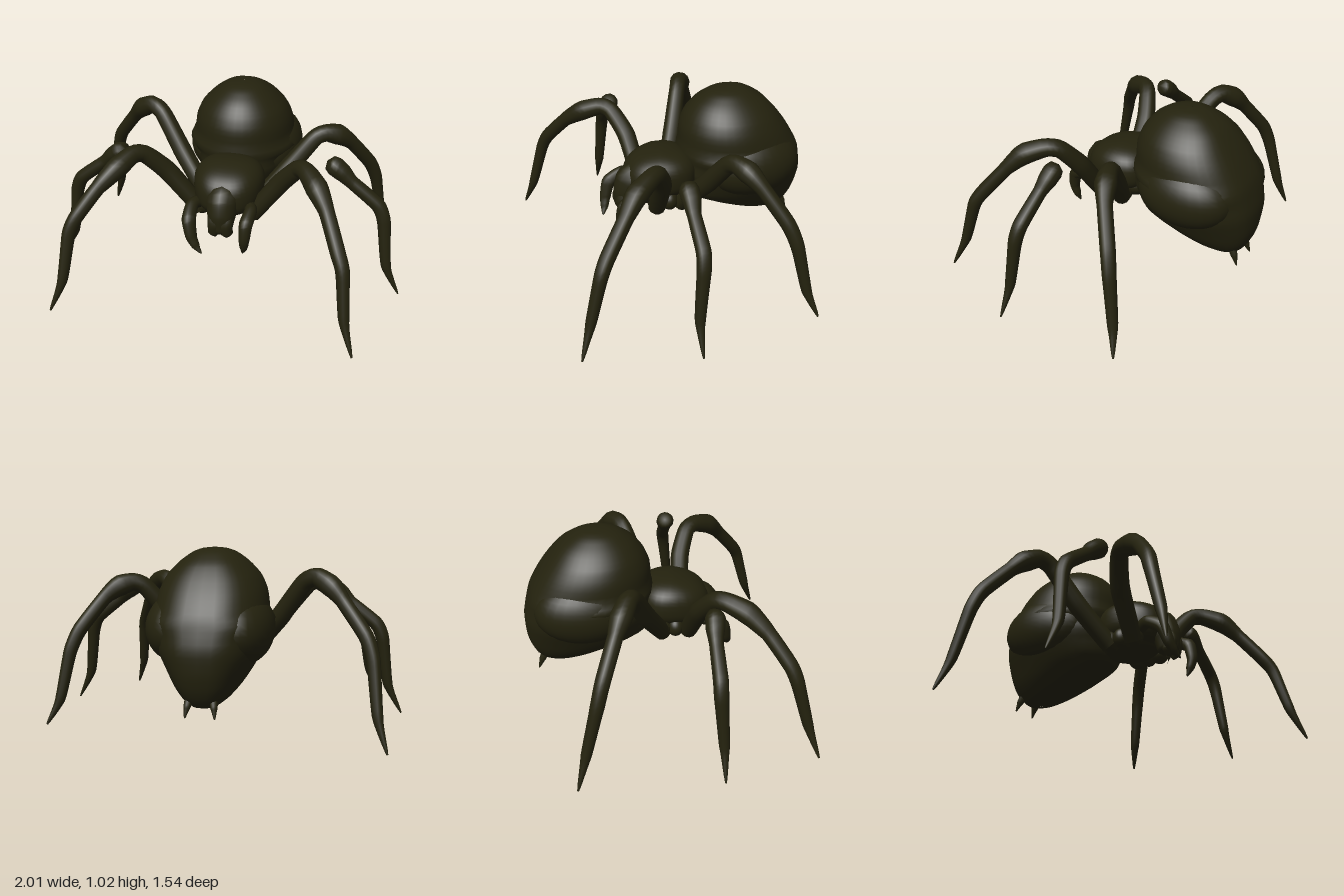
import * as THREE from 'three';
import { mergeVertices } from 'three/addons/utils/BufferGeometryUtils.js';

const hide = new THREE.MeshStandardMaterial({ color: 0x24220e });
hide.name = 'dark olive';

function smooth(geo) {
  geo.deleteAttribute('uv');
  geo.deleteAttribute('normal');
  const g = mergeVertices(geo, 1e-5);
  g.computeVertexNormals();
  return g;
}

function add(group, name, geo) {
  const mesh = new THREE.Mesh(geo, hide);
  mesh.name = name;
  group.add(mesh);
  return mesh;
}

function blob(group, name, [x, y, z], [rx, ry, rz]) {
  const m = add(group, name, new THREE.SphereGeometry(1, 28, 20));
  m.position.set(x, y, z);
  m.scale.set(rx, ry, rz);
  return m;
}

// Tube through points [x, y, z, radius], the radius varying along its length
function limb(group, name, pts, sides = 12) {
  const curve = new THREE.CatmullRomCurve3(
    pts.map(p => new THREE.Vector3(p[0], p[1], p[2])), false, 'catmullrom', 0.28);
  const n = pts.length * 6;
  const geo = new THREE.TubeGeometry(curve, n, 1, sides);
  const pos = geo.attributes.position, v = new THREE.Vector3();
  for (let i = 0; i <= n; i++) {
    const t = curve.getUtoTmapping(i / n) * (pts.length - 1);
    const k = Math.min(Math.floor(t), pts.length - 2);
    const r = THREE.MathUtils.lerp(pts[k][3], pts[k + 1][3], t - k);
    const c = curve.getPointAt(i / n);
    for (let j = 0; j <= sides; j++) {
      const q = i * (sides + 1) + j;
      v.fromBufferAttribute(pos, q).sub(c).multiplyScalar(r).add(c);
      pos.setXYZ(q, v.x, v.y, v.z);
    }
  }
  return add(group, name, smooth(geo));
}

// Abdomen: horizontal rings stacked by height [y, front z, back z, half width], fuller at the back
function abdomenGeometry() {
  const rows = [
    [0.22, -0.56, -0.6, 0.001], [0.235, -0.47, -0.67, 0.07], [0.28, -0.34, -0.715, 0.13],
    [0.34, -0.2, -0.745, 0.18], [0.42, -0.06, -0.765, 0.23], [0.52, -0.045, -0.77, 0.28],
    [0.62, -0.045, -0.75, 0.3], [0.7, -0.045, -0.725, 0.3], [0.8, -0.05, -0.665, 0.285],
    [0.88, -0.08, -0.605, 0.25], [0.95, -0.135, -0.54, 0.185], [1.0, -0.21, -0.46, 0.115],
    [1.018, -0.27, -0.41, 0.065], [1.025, -0.34, -0.345, 0.001]];
  const paths = [0, 1, 2, 3].map(k => new THREE.CatmullRomCurve3(
    rows.map(r => new THREE.Vector3(r[k], 0, 0))));
  const seg = 40, n = 40, pos = [], idx = [];
  for (let i = 0; i <= n; i++) {
    const [y, zf, zb, w] = paths.map(p => p.getPoint(i / n).x);
    for (let j = 0; j < seg; j++) {
      const a = j / seg * Math.PI * 2, s = Math.sin(a), c = Math.cos(a);
      const x = Math.sign(s) * Math.pow(Math.abs(s), c < 0 ? 0.75 : 1);
      pos.push(w * x, y, (zf + zb) / 2 + (zf - zb) / 2 * c);
      if (i === n) continue;
      const p = i * seg + j, q = i * seg + (j + 1) % seg;
      idx.push(p, q, q + seg, p, q + seg, p + seg);
    }
  }
  const g = new THREE.BufferGeometry();
  g.setAttribute('position', new THREE.Float32BufferAttribute(pos, 3));
  g.setIndex(idx);
  g.computeVertexNormals();
  return g;
}

// Carapace: squared-off dome that narrows toward the face
function carapaceGeometry() {
  const g = new THREE.SphereGeometry(1, 32, 22);
  const p = g.attributes.position;
  const square = s => Math.sign(s) * Math.pow(Math.abs(s), 0.78);
  for (let i = 0; i < p.count; i++) {
    const x = square(p.getX(i)), y = square(p.getY(i)), z = square(p.getZ(i));
    const taper = 1 - 0.15 * Math.max(0, z);
    p.setXYZ(i, x * 0.2 * taper, 0.57 + y * 0.138 - Math.max(0, z) * 0.03, 0.085 + z * 0.205);
  }
  return smooth(g);
}

// Leg paths, hip to claw
const legRadii = [0.05, 0.055, 0.049, 0.05, 0.061, 0.041, 0.04, 0.037, 0.028, 0.005];
const legs = {
  leftFrontLeg: [[0.15, 0.42, 0.15], [0.31, 0.65, 0.175], [0.41, 0.775, 0.23], [0.46, 0.79, 0.285], [0.53, 0.75, 0.385],
    [0.59, 0.67, 0.46], [0.67, 0.51, 0.585], [0.703, 0.43, 0.63], [0.733, 0.18, 0.703], [0.79, 0.01, 0.77]],
  rightFrontLeg: [[-0.15, 0.42, 0.15], [-0.33, 0.65, 0.175], [-0.44, 0.775, 0.235], [-0.49, 0.79, 0.285], [-0.55, 0.75, 0.385],
    [-0.63, 0.67, 0.475], [-0.73, 0.53, 0.575], [-0.765, 0.44, 0.61], [-0.8, 0.18, 0.68], [-0.865, 0.01, 0.735]],
  leftBackLeg: [[0.15, 0.42, 0.01], [0.32, 0.62, -0.085], [0.45, 0.785, -0.145], [0.51, 0.81, -0.17], [0.58, 0.79, -0.205],
    [0.65, 0.73, -0.25], [0.765, 0.56, -0.35], [0.81, 0.44, -0.39], [0.857, 0.18, -0.44], [0.92, 0.045, -0.485]],
  rightBackLeg: [[-0.15, 0.42, 0], [-0.32, 0.63, -0.11], [-0.46, 0.83, -0.195], [-0.53, 0.865, -0.23], [-0.61, 0.82, -0.275],
    [-0.67, 0.755, -0.31], [-0.8, 0.58, -0.39], [-0.84, 0.46, -0.425], [-0.872, 0.18, -0.495], [-0.925, 0.01, -0.545]],
};

export function createModel() {
  const spider = new THREE.Group();
  spider.name = 'spider';

  // Abdomen with side lobes and spinnerets
  add(spider, 'abdomen', abdomenGeometry());
  blob(spider, 'leftAbdomenLobe', [0.165, 0.61, -0.42], [0.18, 0.19, 0.28]);
  blob(spider, 'rightAbdomenLobe', [-0.165, 0.61, -0.43], [0.17, 0.19, 0.28]);
  for (const s of [-1, 1])
    limb(spider, 'spinneret', [[s * 0.06, 0.3, -0.66, 0.025], [s * 0.07, 0.24, -0.69, 0.018], [s * 0.077, 0.19, -0.71, 0.003]], 8);

  // Cephalothorax
  add(spider, 'carapace', carapaceGeometry());
  blob(spider, 'sternum', [0, 0.48, 0.05], [0.16, 0.1, 0.19]);
  blob(spider, 'waist', [0, 0.52, -0.06], [0.11, 0.11, 0.12]);

  // Face: snout, jaws, eyes and hip joints, mirrored
  limb(spider, 'snout', [[0, 0.57, 0.17, 0.09], [0, 0.54, 0.25, 0.09], [0, 0.46, 0.28, 0.08], [0, 0.38, 0.29, 0.06], [0, 0.35, 0.29, 0]]);
  for (const s of [-1, 1]) {
    limb(spider, 'jaw', [[s * 0.03, 0.5, 0.28, 0.045], [s * 0.03, 0.43, 0.315, 0.042], [s * 0.035, 0.37, 0.305, 0.035], [s * 0.03, 0.335, 0.3, 0.002]], 10);
    blob(spider, 'eye', [s * 0.05, 0.635, 0.235], [0.014, 0.014, 0.014]);
    blob(spider, 'eye', [s * 0.095, 0.62, 0.22], [0.012, 0.012, 0.012]);
    for (const z of [0.15, 0.075, 0])
      blob(spider, 'hip', [s * 0.145, 0.45, z], [0.06, 0.06, 0.05]);
  }

  // Feelers beside the jaws
  limb(spider, 'leftFeeler', [[0.12, 0.48, 0.15, 0.035], [0.16, 0.5, 0.25, 0.035], [0.15, 0.46, 0.34, 0.038],
    [0.145, 0.37, 0.36, 0.03], [0.14, 0.31, 0.345, 0.022], [0.13, 0.265, 0.33, 0.003]], 10);
  limb(spider, 'rightFeeler', [[-0.12, 0.48, 0.15, 0.035], [-0.17, 0.5, 0.25, 0.035], [-0.17, 0.45, 0.34, 0.04],
    [-0.15, 0.36, 0.37, 0.032], [-0.12, 0.31, 0.385, 0.022], [-0.085, 0.28, 0.405, 0.003]], 10);

  // Front and back legs
  for (const [name, pts] of Object.entries(legs))
    limb(spider, name, pts.map((p, i) => [...p, legRadii[i]]));

  // Middle legs: lower segments only, with a rounded knee
  const middle = [[0.55, 0.785, 0.12, 0], [0.56, 0.78, 0.122, 0.038], [0.59, 0.762, 0.128, 0.054], [0.64, 0.725, 0.132, 0.05],
    [0.69, 0.68, 0.14, 0.037], [0.84, 0.56, 0.148, 0.04], [0.88, 0.47, 0.16, 0.038], [0.918, 0.2, 0.19, 0.028], [1, 0.03, 0.2, 0.004]];
  limb(spider, 'leftMiddleLeg', middle);
  limb(spider, 'rightMiddleLeg', middle.map(([x, y, z, r], i) => [-x, y, z + 0.1 * (1 - i / 8), r]));

  return spider;
}
